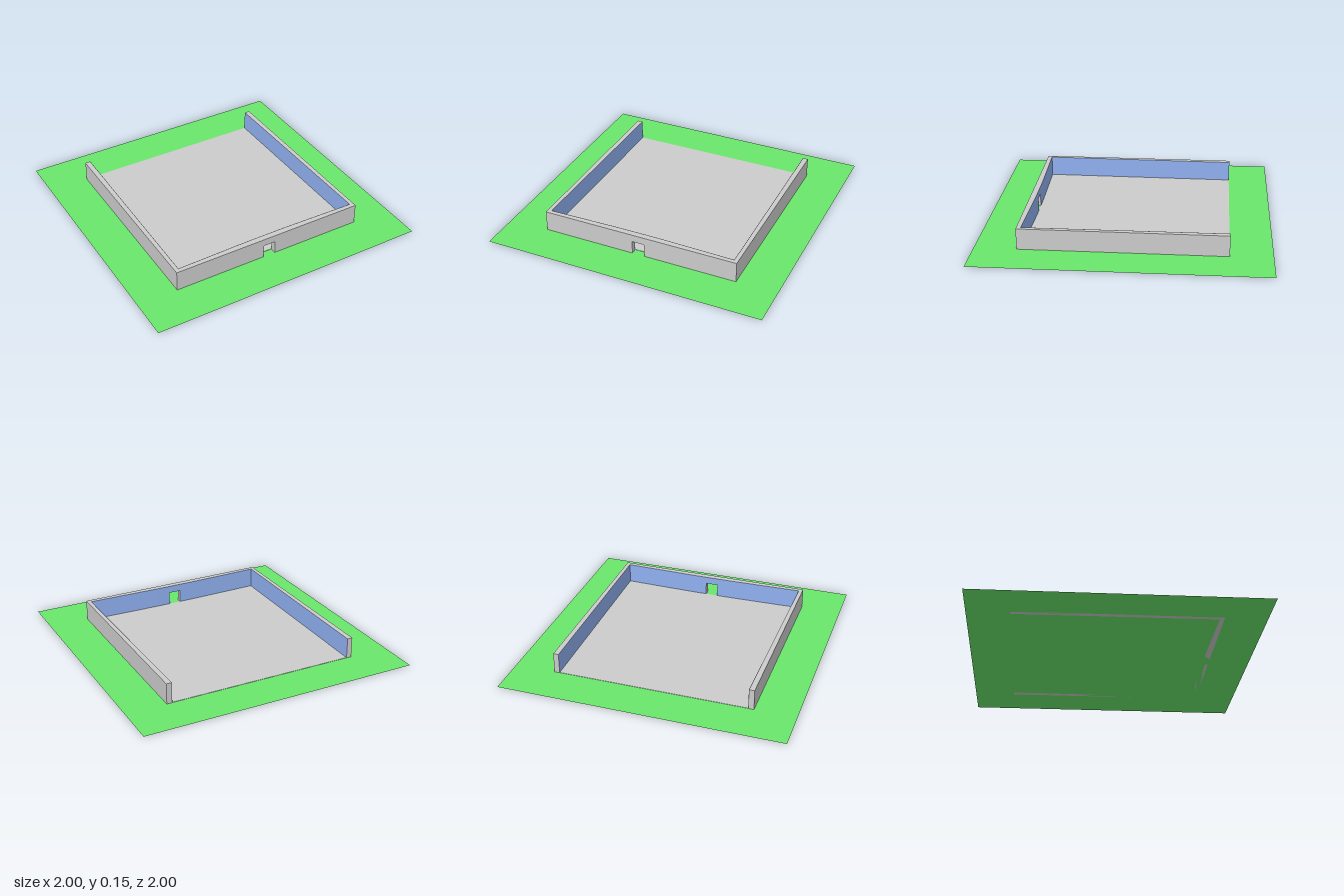
import * as THREE from 'three';

const OUT = 0.71, TOP = 0.148, DOOR = 0.045, DOOR_TOP = 0.095;

const grey = new THREE.MeshStandardMaterial({ color: 0xcccccc });
const green = new THREE.MeshStandardMaterial({ color: 0x69e66c, side: THREE.DoubleSide });
const blue = new THREE.MeshStandardMaterial({ color: 0x8fb0f0, side: THREE.DoubleSide });

// Inner face of the walls as [x, z], from the doorway round to the open back on +x
const innerHalf = [[DOOR, 0.668], [0.15, 0.668], [0.43, 0.674], [0.682, 0.68], [0.672, -OUT]];
const outerHalf = [[OUT, -OUT], [OUT, OUT], [DOOR, OUT]];
const mirror = (points) => points.map(([x, z]) => [-x, z]).reverse();
const innerFull = [...mirror(innerHalf), ...innerHalf];

function named(geometry, material, name) {
  const mesh = new THREE.Mesh(geometry, material);
  mesh.name = name;
  return mesh;
}

// Plan outline raised from y0 to y1
function prism(points, y0, y1) {
  const shape = new THREE.Shape(points.map(([x, z]) => new THREE.Vector2(x, z)));
  const geometry = new THREE.ExtrudeGeometry(shape, { depth: y1 - y0, bevelEnabled: false });
  return geometry.rotateX(Math.PI / 2).translate(0, y1, 0);
}

// Vertical lining strip along a plan line, set just inside the wall
function ribbon(points, y0, y1) {
  const positions = [], index = [];
  points.forEach(([x, z], i) => {
    const px = x - Math.sign(x) * (Math.abs(x) > 0.6 ? 0.001 : 0), pz = z > 0 ? z - 0.001 : z;
    positions.push(px, y0, pz, px, y1, pz);
    if (i) {
      const a = 2 * i - 2;
      index.push(a, a + 2, a + 1, a + 1, a + 2, a + 3);
    }
  });
  const geometry = new THREE.BufferGeometry();
  geometry.setAttribute('position', new THREE.Float32BufferAttribute(positions, 3));
  geometry.setIndex(index);
  const flat = geometry.toNonIndexed();
  flat.computeVertexNormals();
  return flat;
}

export function createModel() {
  const model = new THREE.Group();
  model.name = 'walledYard';

  // Flat lawn and the thin floor between the walls
  model.add(named(new THREE.PlaneGeometry(2, 2).rotateX(-Math.PI / 2), green, 'lawn'));
  model.add(named(prism(innerFull, 0.0005, 0.003), grey, 'floor'));

  // Wall halves on either side of the doorway
  const half = [...innerHalf, ...outerHalf];
  for (const [side, wall, lining] of [
    ['left', half, innerHalf],
    ['right', mirror(half), mirror(innerHalf)],
  ]) {
    model.add(named(prism(wall, 0, DOOR_TOP), grey, side + 'Wall'));
    model.add(named(ribbon(lining, 0, DOOR_TOP), blue, side + 'WallLining'));
  }

  // Continuous upper course, bridging the doorway
  const upper = [...innerFull, [OUT, -OUT], [OUT, OUT], [-OUT, OUT], [-OUT, -OUT]];
  model.add(named(prism(upper, DOOR_TOP, TOP), grey, 'upperWall'));
  model.add(named(ribbon(innerFull, DOOR_TOP, TOP), blue, 'upperWallLining'));

  return model;
}
